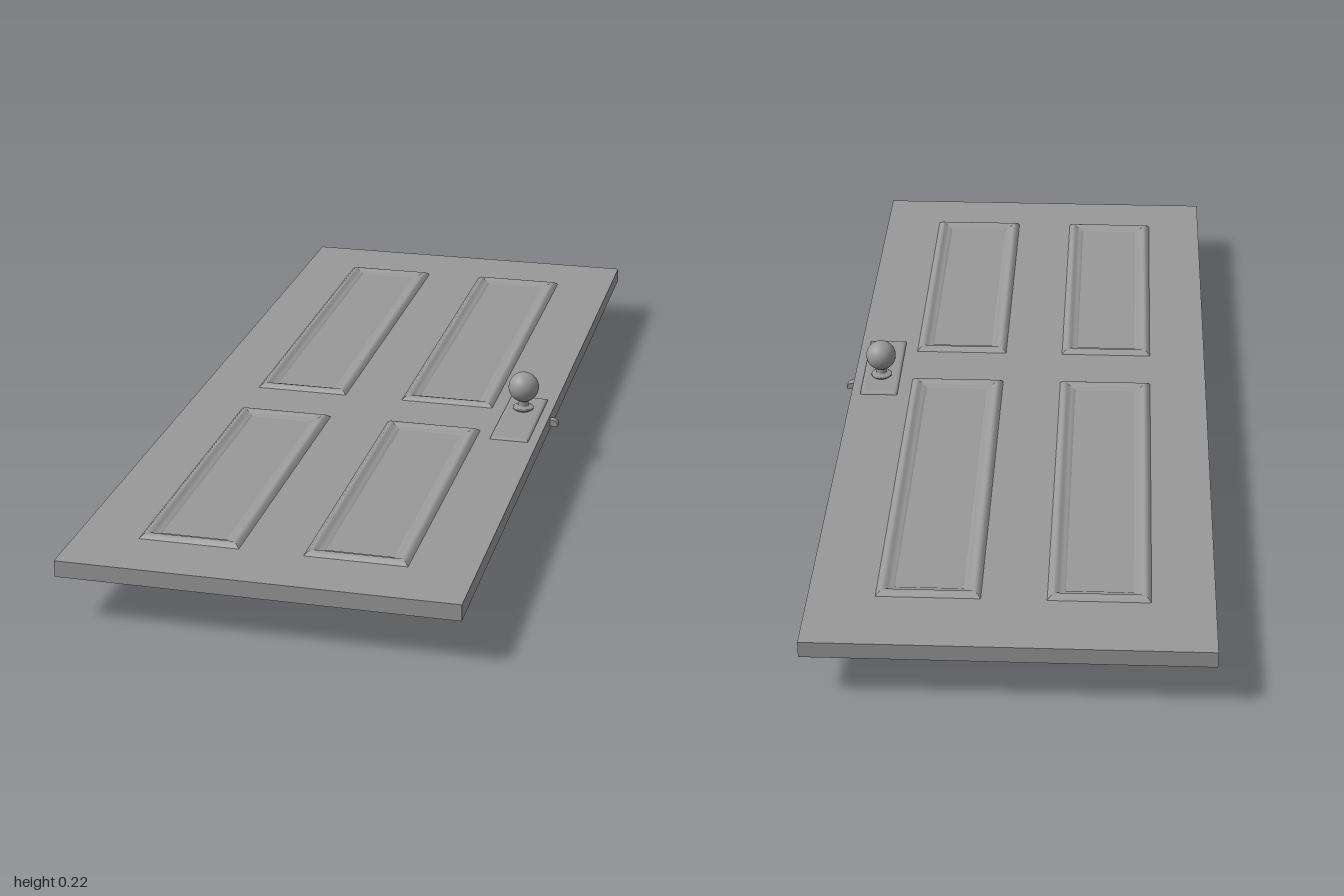
import * as THREE from 'three';

const MID = 0.11, HALF = 0.017;          // slab mid height and half thickness
const KNOB_X = 0.328, KNOB_Z = 0.038;

// Rectangular rings stepped inward by [inset, height]; smooth along the profile, sharp at the mitres
function mitredGeometry(w, d, steps) {
  const pos = [], index = [];
  const corner = (k, [inset, h]) => {
    const sx = k % 4 === 0 || k % 4 === 3 ? -1 : 1, sz = k % 4 < 2 ? 1 : -1;
    return [sx * (w / 2 - inset), h, sz * (d / 2 - inset)];
  };
  for (let k = 0; k < 4; k++) {
    const base = pos.length / 3;
    steps.forEach((step, i) => {
      pos.push(...corner(k, step), ...corner(k + 1, step));
      const a = base + i * 2;
      if (i < steps.length - 1) index.push(a, a + 1, a + 3, a, a + 3, a + 2);
    });
  }
  const g = new THREE.BufferGeometry();
  g.setAttribute('position', new THREE.Float32BufferAttribute(pos, 3));
  g.setIndex(index);
  g.computeVertexNormals();
  return g;
}

// Raised outer lip, then a broad slope down to the panel and a small inner bead
const MOULDING = [[0, 0], [0.004, 0.004], [0.008, 0.0075], [0.012, 0.0085], [0.016, 0.008],
  [0.021, 0.0045], [0.027, 0.002], [0.032, 0.002], [0.037, -0.001]];
// Thin plate with eased edges, closed at its centre line
const PLATE = [[0, 0], [0.001, 0.003], [0.004, 0.005], [0.01, 0.0055], [0.042, 0.0055]];

// Rosette, neck and ball turned as one profile, starting at the slab face
function knobGeometry() {
  const pts = [[0, 0], [0.018, 0], [0.018, 0.009], [0.023, 0.0095], [0.023, 0.013], [0.021, 0.014],
    [0.012, 0.0145], [0.0115, 0.018], [0.0115, 0.028]].map(p => new THREE.Vector2(...p));
  const r = 0.0335, cy = 0.0595;
  for (let i = 0; i <= 20; i++) {
    const a = -1.22 + (i / 20) * (Math.PI / 2 + 1.22);
    pts.push(new THREE.Vector2(Math.max(0, r * Math.cos(a)), cy + r * Math.sin(a)));
  }
  return new THREE.LatheGeometry(pts, 32);
}

export function createModel() {
  const door = new THREE.Group();
  door.name = 'door';
  const mat = new THREE.MeshStandardMaterial({ color: 0x999999 });
  const add = (name, geo, x, y, z, parent = door) => {
    const m = new THREE.Mesh(geo, mat);
    m.name = name;
    m.position.set(x, y, z);
    parent.add(m);
    return m;
  };

  add('slab', new THREE.BoxGeometry(0.8, HALF * 2, 2), -0.01, MID, 0);

  // Upper and lower pairs of panels: [x min, x max], [z min, z max]
  const columns = [[-0.284, -0.08], [0.05, 0.257]];
  const rows = [[-0.84, 0.034], [0.168, 0.867]];
  const knob = knobGeometry();
  const plate = mitredGeometry(0.084, 0.25, PLATE);
  const plateTop = new THREE.PlaneGeometry(0.066, 0.232).rotateX(-Math.PI / 2);

  // Both faces carry the same panels and hardware
  for (const side of [1, -1]) {
    const face = new THREE.Group();
    face.name = side > 0 ? 'upperFace' : 'lowerFace';
    face.position.y = MID + side * HALF;
    door.add(face);
    const addFacing = (name, geo, x, y, z) => {
      add(name, geo, x, side * y, z, face).rotation.x = side < 0 ? Math.PI : 0;
    };

    for (const [x0, x1] of columns) {
      for (const [z0, z1] of rows) {
        addFacing('panelMoulding', mitredGeometry(x1 - x0, z1 - z0, MOULDING), (x0 + x1) / 2, 0, (z0 + z1) / 2);
      }
    }
    addFacing('backPlateEdge', plate, KNOB_X, 0, 0.085);
    addFacing('backPlateTop', plateTop, KNOB_X, 0.0056, 0.085);
    addFacing('knob', knob, KNOB_X, 0, KNOB_Z);
  }

  // Spring latch: flat below, rounded on the outer upper side
  const s = new THREE.Shape();
  s.moveTo(-0.01, -0.007);
  s.lineTo(0.018, -0.007);
  s.lineTo(0.018, -0.004);
  s.quadraticCurveTo(0.014, 0.007, 0.004, 0.007);
  s.lineTo(-0.01, 0.007);
  const latch = new THREE.ExtrudeGeometry(s, { depth: 0.018, bevelEnabled: false, curveSegments: 8 });
  add('latch', latch, 0.39, MID - 0.001, KNOB_Z - 0.009);

  return door;
}
